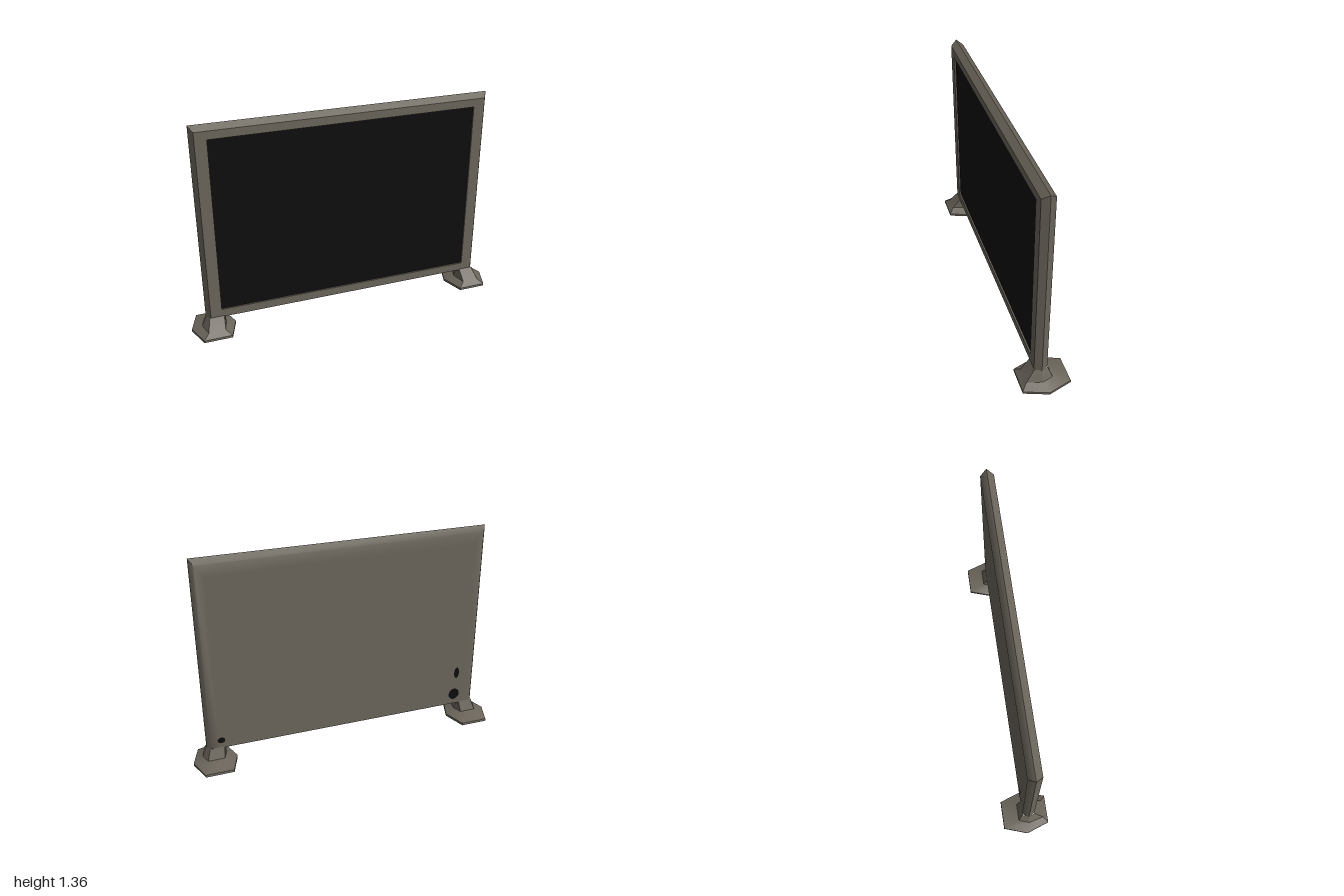
import * as THREE from 'three';
import { toCreasedNormals } from 'three/addons/utils/BufferGeometryUtils.js';

// Joins closed rings of equal point count into a skin
function loft(rings, crease) {
  const n = rings[0].length, index = [];
  for (let r = 0; r < rings.length - 1; r++) {
    for (let i = 0; i < n; i++) {
      const a = r * n + i, b = r * n + (i + 1) % n;
      index.push(a, b, b + n, a, b + n, a + n);
    }
  }
  const g = new THREE.BufferGeometry();
  g.setAttribute('position', new THREE.Float32BufferAttribute(rings.flat(2), 3));
  g.setIndex(index);
  return toCreasedNormals(g, crease);
}

// Upright rectangle, counter-clockwise seen from +z
const rect = (x, y0, y1, z) => [[-x, y0, z], [x, y0, z], [x, y1, z], [-x, y1, z]];

// Level hexagon, counter-clockwise seen from above
const hex = (cx, wide, narrow, zBack, zFront, zMid, y) => [
  [cx + wide, y, zMid], [cx + narrow, y, zBack], [cx - narrow, y, zBack],
  [cx - wide, y, zMid], [cx - narrow, y, zFront], [cx + narrow, y, zFront],
];

export function createModel() {
  const group = new THREE.Group();
  const casing = new THREE.MeshStandardMaterial({ color: 0x6b655b });
  casing.name = 'warm grey casing';
  const black = new THREE.MeshStandardMaterial({ color: 0x0d0d0d });
  black.name = 'black screen';

  const add = (name, geometry, material) => {
    const mesh = new THREE.Mesh(geometry, material);
    mesh.name = name;
    group.add(mesh);
    return mesh;
  };

  // Back shell, softly rounded out to the middle ridge
  add('backShell', loft([
    rect(0, 0.7, 0.7, -0.02),
    rect(0.83, 0.125, 1.25, -0.02),
    rect(0.885, 0.125, 1.325, -0.02),
    rect(0.91, 0.125, 1.355, 0.02),
  ], 1.1), casing);

  // Front bezel with crisp bevel and shallow recess
  add('frontBezel', loft([
    rect(0.91, 0.125, 1.355, 0.02),
    rect(0.885, 0.125, 1.325, 0.06),
    rect(0.815, 0.177, 1.275, 0.06),
    rect(0.815, 0.177, 1.275, 0.048),
  ], 0.3), casing);

  // Screen
  const screen = add('screen', new THREE.PlaneGeometry(1.63, 1.098), black);
  screen.position.set(0, 0.726, 0.05);

  // Feet: faceted base rising into a short neck
  for (const [name, s] of [['rightFoot', -1], ['leftFoot', 1]]) {
    add(name, loft([
      hex(s * 0.865, 0, 0, 0.02, 0.02, 0.02, 0),
      hex(s * 0.862, 0.137, 0.087, -0.147, 0.145, 0, 0.02),
      hex(s * 0.862, 0.137, 0.087, -0.145, 0.145, 0, 0.035),
      hex(s * 0.862, 0.075, 0.052, -0.045, 0.115, 0.02, 0.062),
      hex(s * 0.848, 0.058, 0.045, -0.02, 0.06, 0.02, 0.13),
    ], 0.45), casing);
  }

  // Small dark marks on the back
  const marks = [[-0.76, 0.2, 0.038, 0.04], [-0.77, 0.36, 0.018, 0.04], [0.82, 0.18, 0.024, 0.02]];
  for (const [x, y, rx, ry] of marks) {
    const mark = add('backMark', new THREE.CircleGeometry(1, 16), black);
    mark.scale.set(rx, ry, 1);
    mark.rotation.y = Math.PI;
    mark.position.set(x, y, -0.022);
  }
  return group;
}
